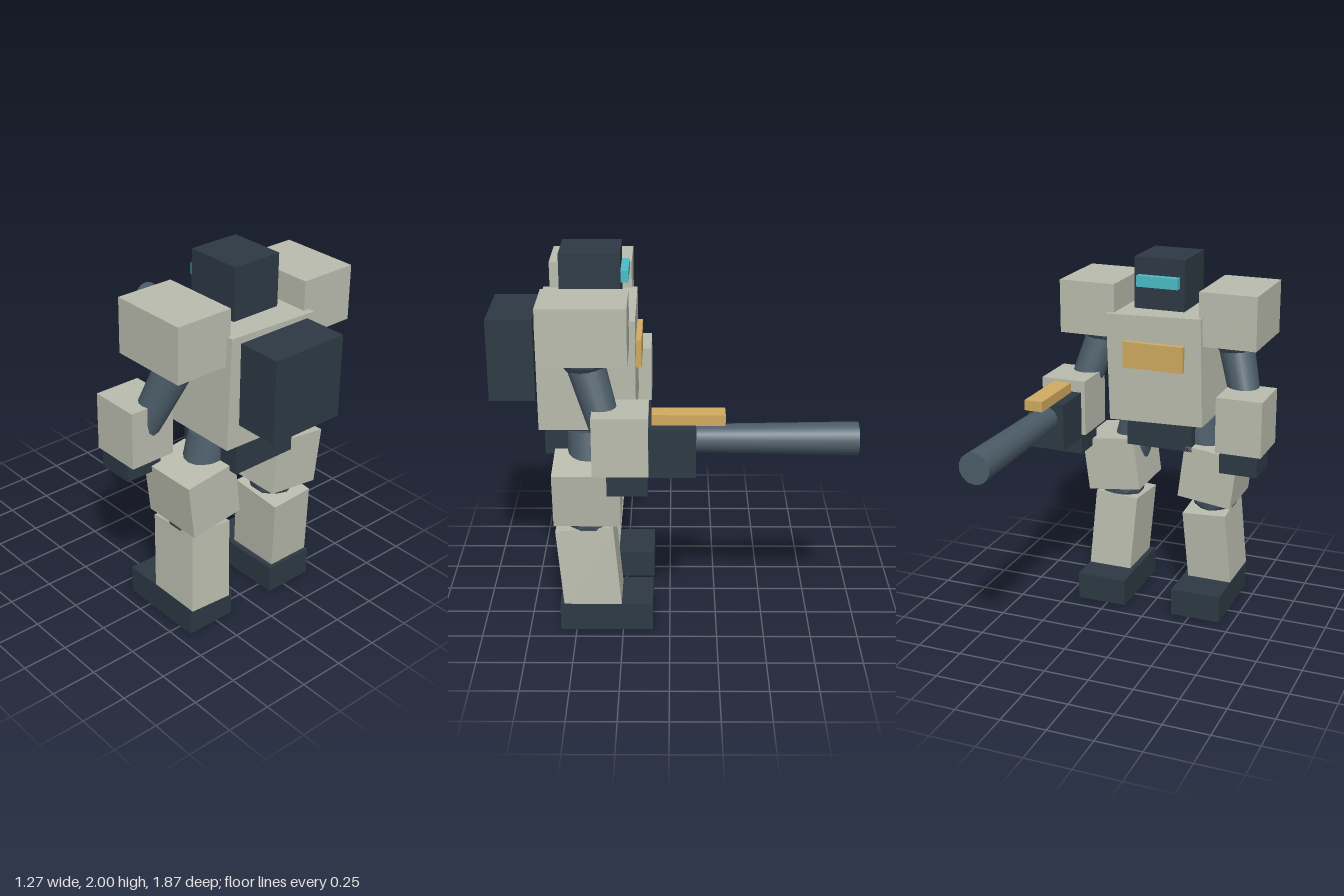
import * as THREE from 'three';

const paint = (color, flatShading = false) => {
  const m = new THREE.MeshStandardMaterial({ flatShading });
  m.color.set(color);
  return m;
};

export function createModel() {
  const armor = paint(0xbabcae);
  const dark = paint(0x2d3943);
  const steel = paint(0x4b5c68);
  const steelFlat = paint(0x4b5c68, true);
  const gold = paint(0xd0aa60);
  const cyan = paint(0x4bbcc6);

  const model = new THREE.Group();

  const add = (parent, name, geometry, material) => {
    const mesh = new THREE.Mesh(geometry, material);
    mesh.name = name;
    parent.add(mesh);
    return mesh;
  };

  // Box from size and centre, with an optional tilt
  const box = (parent, name, material, size, at, tilt = [0, 0, 0]) => {
    const mesh = add(parent, name, new THREE.BoxGeometry(...size), material);
    mesh.position.set(...at);
    mesh.rotation.set(...tilt);
    return mesh;
  };

  // Tapered cylinder running from point a to point b
  const rod = (parent, name, a, b, ra, rb, sides = 16) => {
    const from = new THREE.Vector3(...a), to = new THREE.Vector3(...b);
    const axis = to.clone().sub(from);
    const mesh = add(parent, name, new THREE.CylinderGeometry(rb, ra, axis.length(), sides), steel);
    mesh.position.copy(from).add(to).multiplyScalar(0.5);
    mesh.quaternion.setFromUnitVectors(new THREE.Vector3(0, 1, 0), axis.normalize());
    return mesh;
  };

  // Faceted ball joint
  const joint = (parent, name, r, at) =>
    add(parent, name, new THREE.IcosahedronGeometry(r, 1), steelFlat).position.set(...at);

  // Head and trunk
  box(model, 'head', dark, [0.285, 0.28, 0.31], [-0.002, 1.86, 0.405]);
  box(model, 'visor', cyan, [0.235, 0.06, 0.06], [-0.002, 1.876, 0.24]);
  box(model, 'torso', armor, [0.54, 0.598, 0.505], [-0.002, 1.402, 0.427], [0, 0, -0.03]);
  box(model, 'chestBand', gold, [0.345, 0.145, 0.545], [-0.002, 1.482, 0.418]);
  box(model, 'backpack', dark, [0.435, 0.44, 0.24], [-0.002, 1.46, 0.815]);
  box(model, 'pelvis', dark, [0.38, 0.175, 0.4], [-0.004, 1.017, 0.455]);

  for (const s of [1, -1]) {
    const side = s > 0 ? 'left' : 'right';

    // Arm
    const arm = new THREE.Group();
    arm.name = side + 'Arm';
    box(arm, 'shoulderPad', armor, [0.32, 0.295, 0.44], [s * 0.402, 1.702, 0.425]);
    joint(arm, 'shoulderJoint', 0.155, [s * 0.39, 1.605, 0.425]);
    rod(arm, 'upperArm', [s * 0.375, 1.56, 0.435], [s * 0.512, 1.13, 0.295], 0.1, 0.078);
    box(arm, 'forearm', armor, [0.255, 0.31, 0.28], [s * 0.506, 1.16, 0.245]);
    box(arm, 'hand', dark, [0.21, 0.12, 0.205], [s * 0.508, 0.95, 0.212]);

    // Leg, with the shins leaning opposite ways mid-stride
    const leg = new THREE.Group();
    leg.name = side + 'Leg';
    rod(leg, 'thigh', [s * 0.166, 1.053, 0.425], [s * 0.3, 0.62, 0.425], 0.115, 0.1);
    box(leg, 'thighArmor', armor, [0.31, 0.305, 0.35], [s * 0.288, 0.792, 0.43], [0, 0, -s * 0.125]);
    joint(leg, 'kneeJoint', 0.138, [s * 0.285, 0.645, 0.425]);
    box(leg, 'shinArmor', armor, [0.252, 0.45, 0.305], [s * 0.286, 0.356, 0.428], [s * 0.09, 0, s * 0.065]);
    box(leg, 'foot', dark, [0.285, 0.155, 0.495], [s * 0.285, 0.0775, 0.3375]);

    model.add(arm, leg);
  }

  // Cannon held in the left hand
  const cannon = new THREE.Group();
  cannon.name = 'cannon';
  box(cannon, 'cannonBody', dark, [0.21, 0.26, 0.235], [0.506, 1.12, -0.0125]);
  rod(cannon, 'barrel', [0.505, 1.161, -0.1], [0.505, 1.161, -0.935], 0.07, 0.084, 14);
  box(cannon, 'sightRail', gold, [0.102, 0.056, 0.365], [0.505, 1.277, -0.0925]);
  model.add(cannon);

  return model;
}
